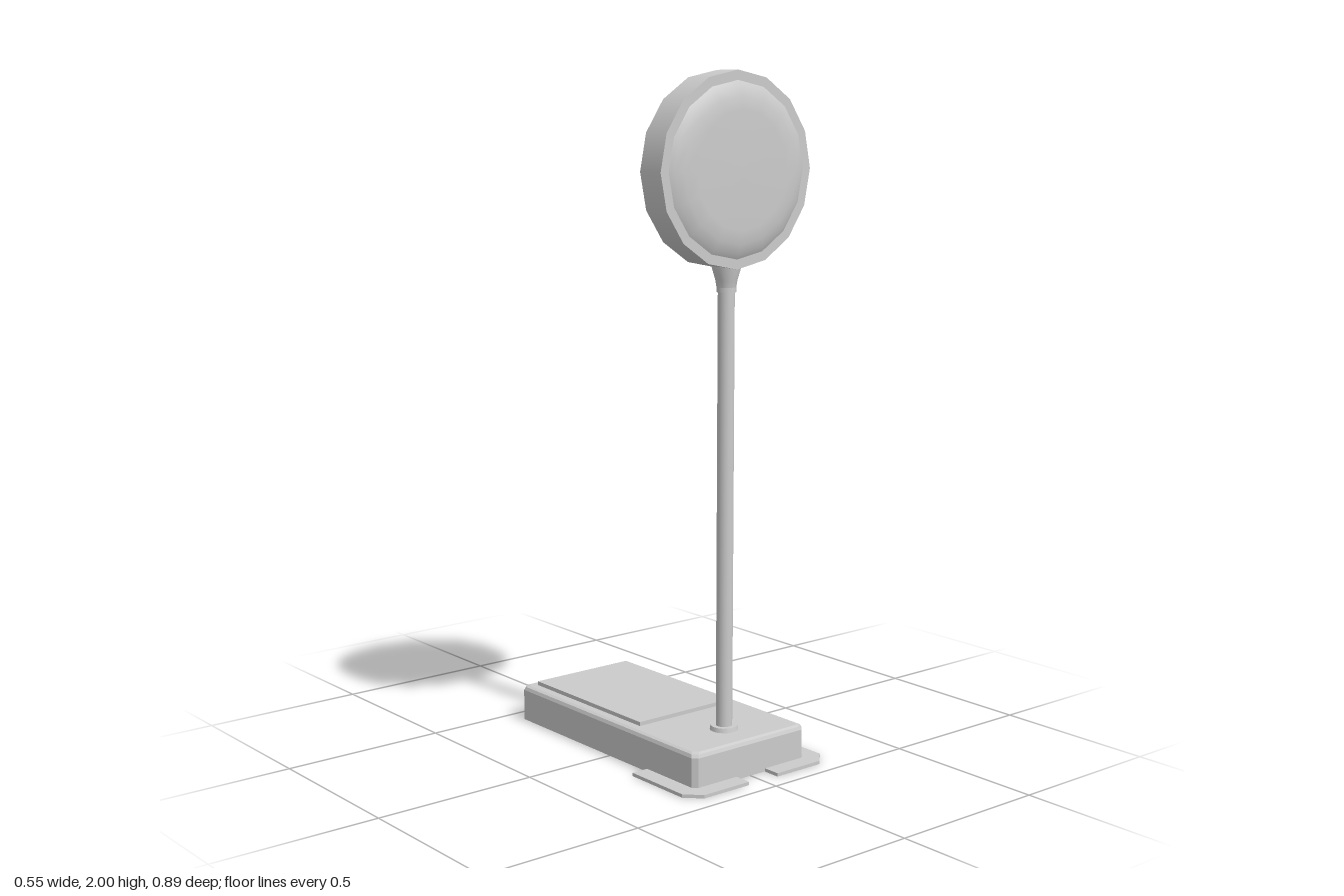
import * as THREE from 'three';
import { ConvexGeometry } from 'three/addons/geometries/ConvexGeometry.js';

const material = new THREE.MeshStandardMaterial({ color: 0xcccccc });
const flatMaterial = new THREE.MeshStandardMaterial({ color: 0xcccccc, flatShading: true });

export function createModel() {
  const model = new THREE.Group();
  model.name = 'deskLamp';
  const add = (name, geometry, x = 0, y = 0, z = 0, mat = material) => {
    const mesh = new THREE.Mesh(geometry, mat);
    mesh.name = name;
    mesh.position.set(x, y, z);
    model.add(mesh);
    return mesh;
  };
  const lathe = (points, sides) =>
    new THREE.LatheGeometry(points.map(([r, y]) => new THREE.Vector2(r, y)), sides);

  // Base block with clipped corners and a chamfered top edge
  const halfX = 0.212, halfZ = 0.421, clip = 0.014;
  const corners = [];
  for (const [y, inset] of [[0.001, 0], [0.096, 0], [0.106, 0.004], [0.11, 0.013]]) {
    const w = halfX - inset, d = halfZ - inset;
    for (const sx of [-1, 1]) for (const sz of [-1, 1]) {
      corners.push(new THREE.Vector3(sx * w, y, sz * (d - clip)));
      corners.push(new THREE.Vector3(sx * (w - clip), y, sz * d));
    }
  }
  add('base', new ConvexGeometry(corners), 0, 0, -0.028, flatMaterial);

  // Raised pad on the rear of the base
  add('chargingPad', new THREE.BoxGeometry(0.35, 0.02, 0.513), 0, 0.112, -0.156);

  // Thin feet, mirrored left and right, each with one clipped corner
  for (const side of [-1, 1]) {
    const outline = [[0.055, 0.18], [0.265, 0.18], [0.265, 0.402], [0.221, 0.446], [0.055, 0.446]];
    const shape = new THREE.Shape(outline.map(([x, z]) => new THREE.Vector2(side * x, -z)));
    const geometry = new THREE.ExtrudeGeometry(shape, { depth: 0.01, bevelEnabled: false });
    geometry.rotateX(-Math.PI / 2);
    add(side > 0 ? 'leftFoot' : 'rightFoot', geometry);
  }

  // Pole with its collars and the flared neck
  const poleZ = 0.274;
  add('pole', new THREE.CylinderGeometry(0.024, 0.024, 1.3, 16), 0, 0.75, poleZ);
  add('poleCollar', new THREE.CylinderGeometry(0.039, 0.042, 0.014, 16), 0, 0.116, poleZ);
  add('neckRing', new THREE.CylinderGeometry(0.028, 0.028, 0.014, 16), 0, 1.394, poleZ);
  add('neck', lathe([[0.027, 1.395], [0.031, 1.42], [0.042, 1.458], [0.042, 1.48]], 16), 0, 0, poleZ);

  // Sixteen-sided lamp head: ring, recessed back and domed diffuser, facing +z
  const head = new THREE.Group();
  head.name = 'lampHead';
  head.position.set(0, 1.727, 0);
  head.rotation.x = Math.PI / 2;
  model.add(head);
  const addHead = (name, points) => {
    const mesh = add(name, lathe(points, 16));
    head.add(mesh);
  };
  addHead('headRim', [[0.274, 0.231], [0.274, 0.319]]);
  addHead('frontLip', [[0.274, 0.319], [0.246, 0.319]]);
  addHead('backLip', [[0.256, 0.231], [0.274, 0.231]]);
  addHead('backLipInside', [[0.256, 0.237], [0.256, 0.231]]);
  addHead('backPanel', [[0, 0.237], [0.256, 0.237]]);
  addHead('diffuser', [[0.248, 0.317], [0.232, 0.327], [0.205, 0.336], [0.165, 0.341], [0, 0.342]]);
  return model;
}
